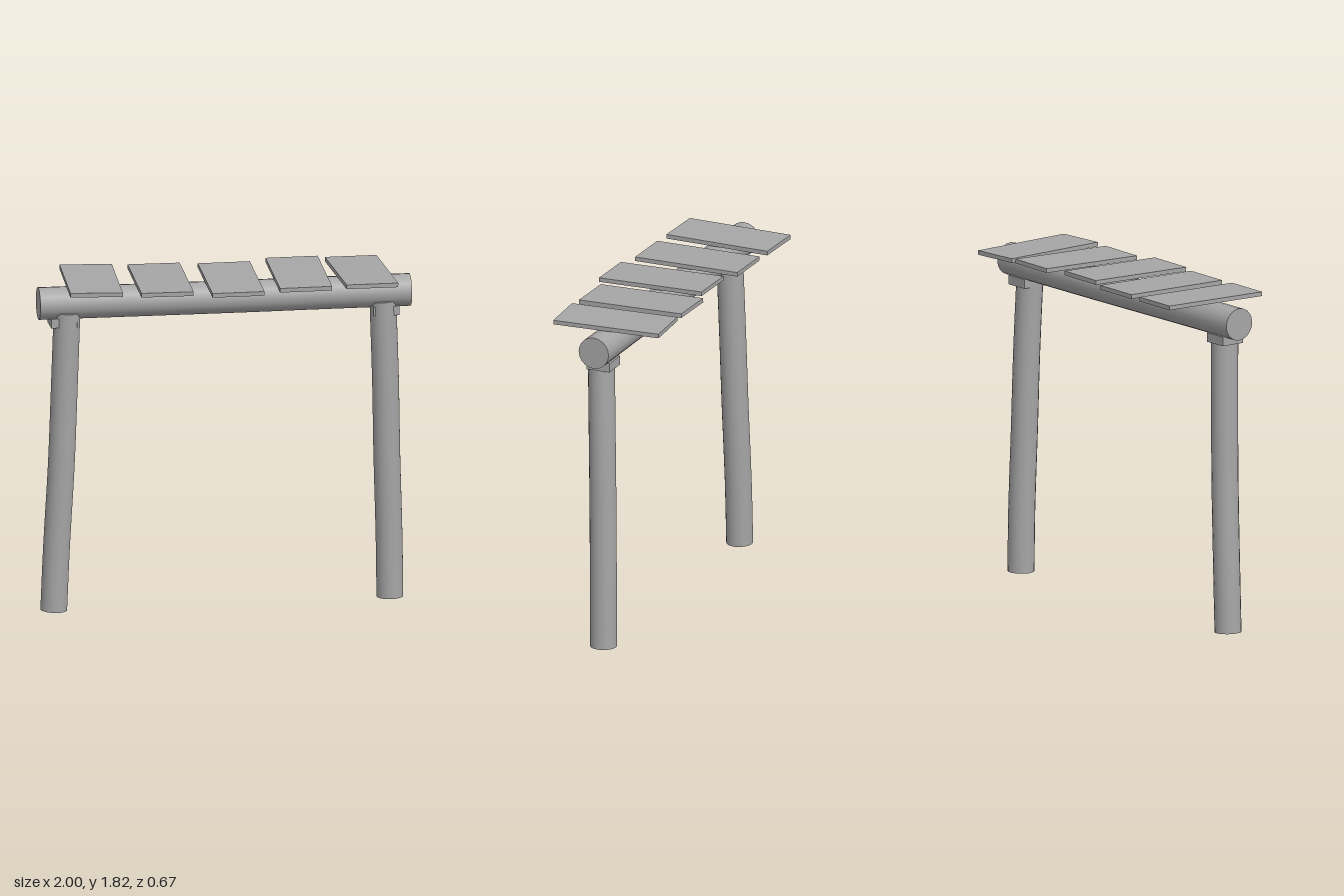
import * as THREE from 'three';

const UP = new THREE.Vector3(0, 1, 0);

// Round log that follows a gently bent centre line, with end caps square to it
function logGeometry(points, radius, sides = 20, rings = 12) {
  const curve = new THREE.CatmullRomCurve3(points.map((p) => new THREE.Vector3(...p)));
  const geo = new THREE.CylinderGeometry(radius, radius, 1, sides, rings);
  const pos = geo.attributes.position;
  const nor = geo.attributes.normal;
  const v = new THREE.Vector3();
  const q = new THREE.Quaternion();
  for (let i = 0; i < pos.count; i++) {
    const t = THREE.MathUtils.clamp(pos.getY(i) + 0.5, 0, 1);
    q.setFromUnitVectors(UP, curve.getTangent(t));
    v.set(pos.getX(i), 0, pos.getZ(i)).applyQuaternion(q).add(curve.getPoint(t));
    pos.setXYZ(i, v.x, v.y, v.z);
    v.fromBufferAttribute(nor, i).applyQuaternion(q);
    nor.setXYZ(i, v.x, v.y, v.z);
  }
  return geo;
}

export function createModel() {
  const model = new THREE.Group();
  model.name = 'plankTopFrame';
  const wood = new THREE.MeshStandardMaterial({ color: 0xa6a6a6 });
  wood.name = 'greyWood';

  const add = (name, geo, x = 0, y = 0, z = 0) => {
    const mesh = new THREE.Mesh(geo, wood);
    mesh.name = name;
    mesh.position.set(x, y, z);
    model.add(mesh);
    return mesh;
  };

  // Crossbeam
  add('crossbeam', logGeometry([
    [-1, 1.698, 0], [-0.4, 1.697, 0.001], [0.1, 1.696, 0], [0.5, 1.697, -0.002], [1, 1.698, 0],
  ], 0.087));

  // Slightly crooked posts
  add('rightPost', logGeometry([
    [-0.915, 0.006, -0.01], [-0.9, 0.36, -0.008], [-0.876, 0.8, 0], [-0.862, 1.2, 0.008], [-0.848, 1.655, 0.02],
  ], 0.072));
  add('leftPost', logGeometry([
    [0.894, 0.012, -0.01], [0.889, 0.36, -0.008], [0.876, 0.8, 0], [0.868, 1.2, 0.008], [0.852, 1.655, 0.02],
  ], 0.072));

  // Bearing blocks between posts and beam
  add('rightBlock', new THREE.BoxGeometry(0.14, 0.05, 0.134), -0.87, 1.602, 0.003);
  add('leftBlock', new THREE.BoxGeometry(0.14, 0.05, 0.134), 0.864, 1.602, 0.003);

  // Loose planks: x, y, z, then small turns about x, y and z
  const planks = [
    [-0.71, 1.803, -0.035, 0, -0.049, -0.012],
    [-0.339, 1.797, -0.016, 0.003, -0.022, 0],
    [0.034, 1.798, 0.03, 0.014, -0.015, 0.006],
    [0.405, 1.801, -0.015, 0.017, -0.017, 0.008],
    [0.742, 1.8, -0.013, -0.004, 0.048, -0.012],
  ];
  planks.forEach(([x, y, z, rx, ry, rz], i) => {
    const plank = add(`plank${i + 1}`, new THREE.BoxGeometry(0.28, 0.023, 0.6), x, y, z);
    plank.rotation.set(rx, ry, rz);
  });

  return model;
}
